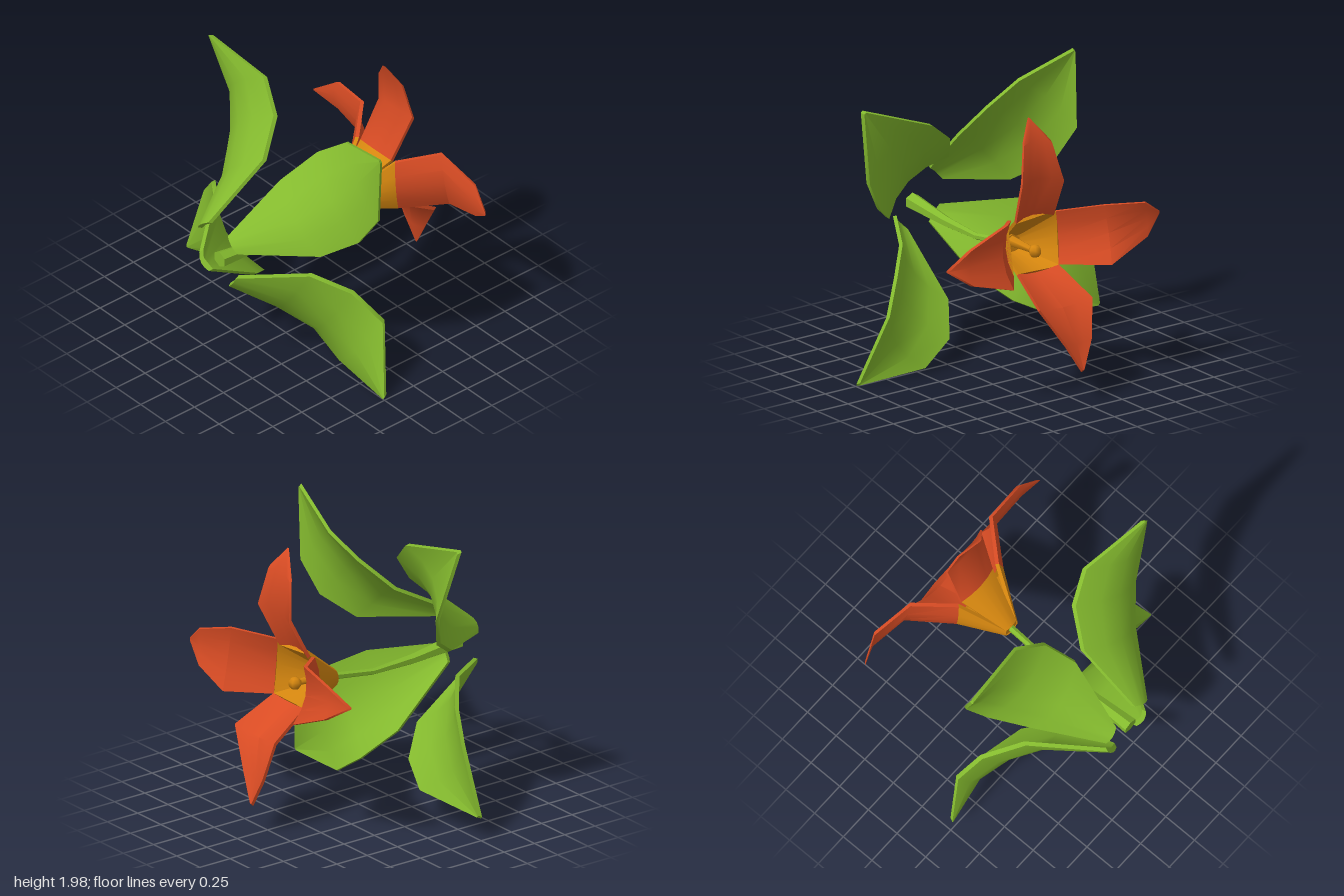
import * as THREE from 'three';
import { toCreasedNormals } from 'three/addons/utils/BufferGeometryUtils.js';

const V = (p) => new THREE.Vector3(...p);

// Closed skin over a list of equal-sized rings, with capped ends
function loft(rings) {
  const n = rings[0].length, pos = [], idx = [];
  rings.forEach((r) => r.forEach((p) => pos.push(p.x, p.y, p.z)));
  for (let i = 0; i < rings.length - 1; i++) {
    for (let j = 0; j < n; j++) {
      const a = i * n + j, b = i * n + (j + 1) % n;
      idx.push(a, b, b + n, a, b + n, a + n);
    }
  }
  const last = (rings.length - 1) * n;
  for (let j = 1; j < n - 1; j++) {
    idx.push(0, j + 1, j, last, last + j, last + j + 1);
  }
  // Turn the faces outward if the enclosed volume is negative
  const at = (i) => new THREE.Vector3().fromArray(pos, i * 3);
  let volume = 0;
  for (let k = 0; k < idx.length; k += 3) {
    volume += at(idx[k]).dot(at(idx[k + 1]).cross(at(idx[k + 2])));
  }
  if (volume < 0) idx.reverse();
  const g = new THREE.BufferGeometry();
  g.setAttribute('position', new THREE.Float32BufferAttribute(pos, 3));
  g.setIndex(idx);
  return toCreasedNormals(g, 0.75);
}

// Thin arched blade: each row is a pair of edge points, bulging along dir
function blade(rows, dir, bulge, thickness) {
  return loft(rows.map(([a, b]) => {
    const arch = bulge * a.distanceTo(b), face = [], back = [];
    for (let i = 0; i <= 4; i++) {
      const t = i / 2 - 1;
      const p = a.clone().lerp(b, i / 4).addScaledVector(dir, arch * (1 - t * t));
      face.push(p);
      back.unshift(p.clone().addScaledVector(dir, -thickness));
    }
    return [...face, ...back];
  }));
}

// Edge pair of a given width around a centre, in the direction of a guide pair
function pairAt(center, [a, b], width) {
  const d = b.clone().sub(a).setLength(width / 2);
  return [center.clone().sub(d), center.clone().add(d)];
}

const LEAVES = [
  { name: 'upperRightLeaf', base: [-0.11, 1.1, 0.87], tip: [-0.78, 1.98, 0.25],
    a: [[0.01, 1.5, 0.46], [-0.09, 1.72, 0.28], [-0.29, 1.89, 0.2]],
    b: [[-0.41, 1.11, 0.46], [-0.6, 1.28, 0.22], [-0.71, 1.5, 0.13]] },
  { name: 'upperLeftLeaf', base: [0.19, 1.1, 0.87], tip: [0.95, 1.9, 0.25],
    a: [[0.14, 1.39, 0.42], [0.28, 1.6, 0.22], [0.48, 1.75, 0.14]],
    b: [[0.6, 1.04, 0.46], [0.79, 1.18, 0.3], [0.92, 1.4, 0.24]] },
  { name: 'lowerRightLeaf', base: [-0.1, 0.81, 0.87], tip: [-0.99, 0.16, 0.26],
    a: [[-0.49, 0.95, 0.46], [-0.72, 0.84, 0.28], [-0.88, 0.65, 0.21]],
    b: [[-0.1, 0.5, 0.44], [-0.27, 0.34, 0.24], [-0.51, 0.22, 0.15]] },
  { name: 'lowerLeftLeaf', base: [0.19, 0.8, 0.87], tip: [0.99, 0.01, 0.25],
    a: [[0.49, 0.82, 0.46], [0.68, 0.69, 0.26], [0.84, 0.48, 0.13]],
    b: [[0.13, 0.37, 0.44], [0.27, 0.18, 0.24], [0.49, 0.03, 0.21]] },
];

// Petal rows run from throat to bend to outer part; out is the outward radial
const PETALS = [
  { name: 'topPetal', out: [0, 1], tip: [0.13, 1.89, -0.48], rows: [
    [[0.02, 0.97, -0.16], [0.12, 0.97, -0.16]], [[-0.08, 1.19, -0.46], [0.23, 1.19, -0.46]],
    [[-0.06, 1.47, -0.6], [0.28, 1.5, -0.6]], [[0, 1.73, -0.55], [0.23, 1.76, -0.55]]] },
  { name: 'bottomPetal', out: [0, -1], tip: [-0.01, 0.21, -0.88], rows: [
    [[0.02, 0.88, -0.16], [0.12, 0.88, -0.16]], [[-0.09, 0.82, -0.5], [0.24, 0.82, -0.5]],
    [[-0.15, 0.66, -0.79], [0.28, 0.66, -0.79]], [[-0.1, 0.4, -0.85], [0.11, 0.4, -0.85]]] },
  { name: 'rightPetal', out: [-1, 0], tip: [-0.8, 1.1, -0.67], rows: [
    [[0.02, 0.97, -0.16], [0.02, 0.88, -0.16]], [[-0.12, 1.19, -0.45], [-0.12, 0.83, -0.48]],
    [[-0.34, 1.25, -0.68], [-0.34, 0.86, -0.77]], [[-0.64, 1.22, -0.73], [-0.65, 0.99, -0.75]]] },
  { name: 'leftPetal', out: [1, 0], tip: [0.94, 1.04, -0.67], rows: [
    [[0.12, 0.97, -0.16], [0.12, 0.88, -0.16]], [[0.28, 1.2, -0.45], [0.28, 0.82, -0.48]],
    [[0.48, 1.27, -0.68], [0.48, 0.84, -0.75]], [[0.79, 1.17, -0.71], [0.78, 0.92, -0.72]]] },
];

export function createModel() {
  const model = new THREE.Group();
  model.name = 'flower';
  const material = (name, color) => {
    const m = new THREE.MeshStandardMaterial({ color });
    m.name = name;
    return m;
  };
  const green = material('leafGreen', 0x84ba2e);
  const red = material('petalRed', 0xd94c24);
  const orange = material('throatOrange', 0xd5860f);
  const add = (parent, name, geometry, mat) => {
    const mesh = new THREE.Mesh(geometry, mat);
    mesh.name = name;
    parent.add(mesh);
    return mesh;
  };

  // Leaves
  for (const leaf of LEAVES) {
    const rows = leaf.a.map((p, i) => [V(p), V(leaf.b[i])]);
    const base = V(leaf.base), tip = V(leaf.tip);
    const dir = new THREE.Vector3(
      0.35 * Math.sign(tip.x - base.x), 0.35 * Math.sign(tip.y - base.y), 0.87).normalize();
    const all = [pairAt(base, rows[0], 0.14), ...rows, pairAt(tip, rows[2], 0.02)];
    add(model, leaf.name, blade(all, dir, 0.15, 0.03), green);
  }

  // Tapering six-sided stem
  const stem = [[0.925, 0.88, 0.058], [0.885, 0.5, 0.036], [0.875, 0.17, 0.022], [0.93, -0.2, 0.025]];
  add(model, 'stem', loft(stem.map(([y, z, r]) => Array.from({ length: 6 }, (_, i) => {
    const t = i * Math.PI / 3 + Math.PI / 6;
    return new THREE.Vector3(0.07 + r * Math.cos(t), y + r * Math.sin(t), z);
  }))), green);

  // Petals: orange throat part and red outer part
  for (const petal of PETALS) {
    const group = new THREE.Group();
    group.name = petal.name;
    model.add(group);
    const rows = petal.rows.map((r) => r.map(V));
    rows.push(pairAt(V(petal.tip), rows[3], 0.015));
    const [ox, oy] = petal.out;
    const dir = new THREE.Vector3(ox * 0.7, oy * 0.7, 0.7).normalize();
    add(group, 'petalThroat', blade(rows.slice(0, 2), dir, 0.12, 0.025), orange);
    add(group, 'petalBlade', blade(rows.slice(1), dir, 0.12, 0.025), red);
  }

  // Throat plug and stamen
  const throat = add(model, 'throatBase', new THREE.CylinderGeometry(0.06, 0.07, 0.06, 6), orange);
  throat.rotation.x = Math.PI / 2;
  throat.position.set(0.07, 0.93, -0.19);
  const stamen = add(model, 'stamen', new THREE.CylinderGeometry(0.02, 0.04, 0.26, 6), orange);
  stamen.rotation.x = -Math.PI / 2;
  stamen.position.set(0.07, 0.95, -0.33);
  const knob = add(model, 'stamenKnob', new THREE.SphereGeometry(0.045, 6, 5), orange);
  knob.position.set(0.07, 0.95, -0.47);
  return model;
}
